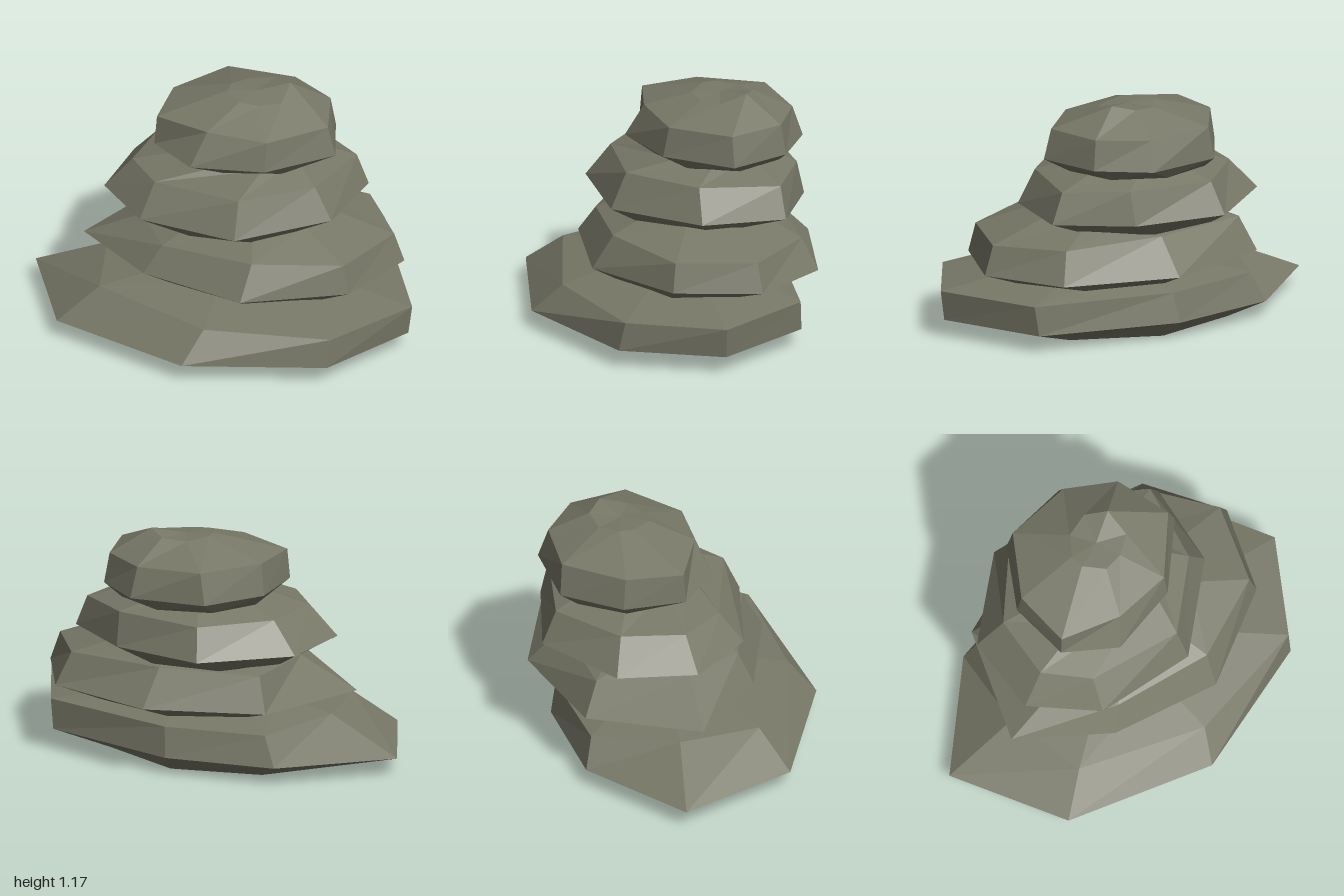
import * as THREE from 'three';

const SIDES = 8;

// regular ring of points on an ellipse, running from +x towards +z
function ellipse(cx, y, cz, rx, rz, start = 0) {
  return Array.from({ length: SIDES }, (_, i) => {
    const a = start + (i / SIDES) * Math.PI * 2;
    return [cx + Math.cos(a) * rx, y, cz + Math.sin(a) * rz];
  });
}

// closed faceted stone skinned over stacked rings, capped at both ends
function stone(rings) {
  const mid = (r) => [0, 1, 2].map((k) => r.reduce((s, p) => s + p[k], 0) / SIDES);
  const cap = (r) => Array(SIDES).fill(mid(r));
  const all = [cap(rings[0]), ...rings, cap(rings[rings.length - 1])];
  const pos = [];
  for (let j = 0; j < all.length - 1; j++) {
    for (let i = 0; i < SIDES; i++) {
      const n = (i + 1) % SIDES;
      const [a, b, c, d] = [all[j][i], all[j][n], all[j + 1][n], all[j + 1][i]];
      if (j > 0) pos.push(...a, ...d, ...b);
      if (j < all.length - 2) pos.push(...b, ...d, ...c);
    }
  }
  const g = new THREE.BufferGeometry();
  g.setAttribute('position', new THREE.Float32BufferAttribute(pos, 3));
  g.computeVertexNormals();
  return g;
}

// each stone: underside, widest rim, shoulder, crown
const STONES = {
  baseStone: [
    ellipse(0.015, 0, 0, 0.62, 0.5),
    [[0.98, 0.09, -0.02], [0.74, 0.09, 0.46], [0.07, 0.09, 0.71], [-0.67, 0.09, 0.52],
      [-1, 0.09, -0.02], [-0.57, 0.09, -0.48], [-0.02, 0.09, -0.61], [0.7, 0.09, -0.49]],
    [[1, 0.24, -0.02], [0.75, 0.235, 0.43], [0.13, 0.235, 0.57], [-0.5, 0.25, 0.38],
      [-0.62, 0.26, -0.02], [-0.5, 0.24, -0.45], [0, 0.24, -0.58], [0.72, 0.24, -0.48]],
    ellipse(0.08, 0.31, -0.04, 0.42, 0.28),
  ],
  lowerStone: [
    ellipse(0.13, 0.28, -0.1, 0.55, 0.44, -0.2),
    [[0.87, 0.36, -0.24], [0.74, 0.36, 0.18], [0.28, 0.36, 0.46], [-0.27, 0.365, 0.37],
      [-0.7, 0.365, 0.09], [-0.52, 0.36, -0.48], [0.04, 0.36, -0.72], [0.62, 0.36, -0.6]],
    [[0.82, 0.505, -0.23], [0.71, 0.505, 0.16], [0.3, 0.53, 0.36], [-0.2, 0.5, 0.3],
      [-0.4, 0.51, 0.05], [-0.45, 0.53, -0.42], [0.05, 0.53, -0.55], [0.57, 0.52, -0.53]],
    ellipse(0.15, 0.6, -0.13, 0.36, 0.28, -0.2),
  ],
  upperStone: [
    ellipse(0, 0.545, -0.16, 0.46, 0.4, -0.6),
    [[0.6, 0.635, -0.44], [0.57, 0.635, -0.02], [0.2, 0.63, 0.34], [-0.31, 0.635, 0.32],
      [-0.6, 0.635, 0.07], [-0.6, 0.635, -0.33], [-0.24, 0.63, -0.67], [0.24, 0.63, -0.64]],
    [[0.54, 0.79, -0.43], [0.48, 0.8, -0.03], [0.19, 0.81, 0.26], [-0.28, 0.79, 0.2],
      [-0.47, 0.79, 0.02], [-0.46, 0.79, -0.3], [-0.2, 0.79, -0.6], [0.25, 0.8, -0.6]],
    ellipse(0.06, 0.865, -0.2, 0.28, 0.26, -0.6),
  ],
  topStone: [
    ellipse(0.04, 0.84, -0.26, 0.37, 0.33),
    [[0.52, 0.9, -0.2], [0.26, 0.9, 0.09], [-0.1, 0.9, 0.18], [-0.35, 0.905, 0.03],
      [-0.39, 0.9, -0.28], [-0.23, 0.9, -0.58], [0.15, 0.9, -0.66], [0.4, 0.9, -0.5]],
    [[0.48, 1.05, -0.2], [0.26, 1.05, 0.06], [-0.04, 1.07, 0.1], [-0.34, 1.055, 0.02],
      [-0.37, 1.06, -0.27], [-0.2, 1.06, -0.57], [0.14, 1.05, -0.61], [0.38, 1.05, -0.48]],
    [[0.23, 1.13, -0.21], [0.14, 1.13, -0.14], [0.04, 1.14, -0.12], [-0.05, 1.15, -0.2],
      [-0.06, 1.15, -0.27], [0, 1.14, -0.37], [0.12, 1.15, -0.41], [0.22, 1.17, -0.35]],
  ],
};

export function createModel() {
  const group = new THREE.Group();
  group.name = 'stackedStones';
  const rock = new THREE.MeshStandardMaterial({ color: 0x787868 });
  rock.name = 'greyRock';
  rock.flatShading = true;
  for (const [name, rings] of Object.entries(STONES)) {
    const mesh = new THREE.Mesh(stone(rings), rock);
    mesh.name = name;
    group.add(mesh);
  }
  return group;
}
